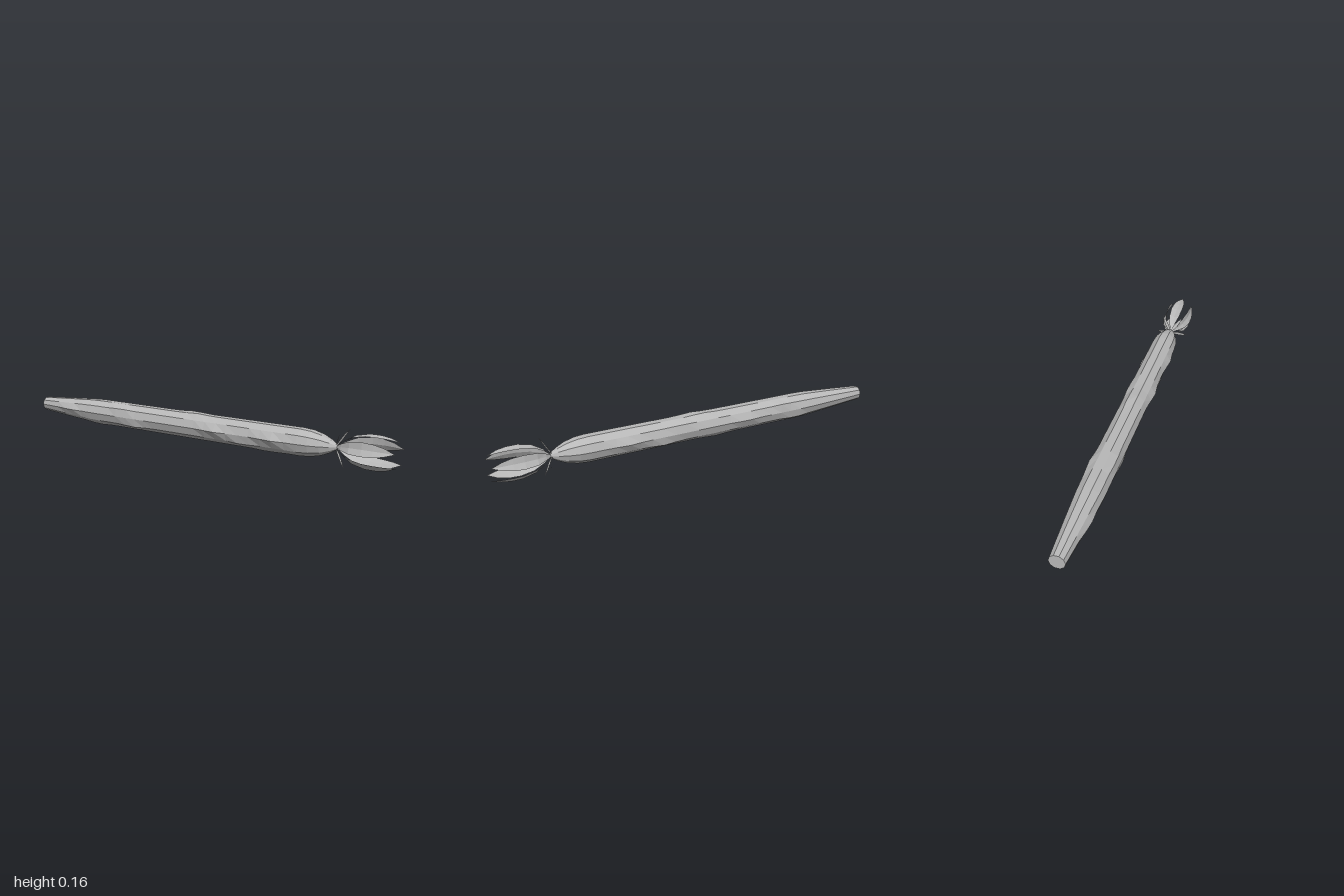
import * as THREE from 'three';

const AXIS = 0.09; // height of the long axis
const skin = new THREE.MeshStandardMaterial({ color: 0xb8b8b8, flatShading: true, side: THREE.DoubleSide });
skin.name = 'pale grey';

// linear lookup in a list of [x, value] pairs
function lookup(list, x) {
  for (let i = 1; i < list.length; i++) {
    const [x0, a] = list[i - 1], [x1, b] = list[i];
    if (x <= x1) return a + (b - a) * Math.max(0, (x - x0) / (x1 - x0));
  }
  return list[list.length - 1][1];
}

// long ten-sided body with low bumps along its ridges
function makeBody() {
  const profile = [[-1, 0.036], [-0.8, 0.051], [-0.62, 0.063], [0.56, 0.063], [0.61, 0.059],
    [0.66, 0.047], [0.7, 0.029], [0.73, 0.01]];
  const stations = [];
  for (let x = -1; x < 0.55; x += 0.06) stations.push(x);
  stations.push(0.56, 0.61, 0.66, 0.7, 0.73);
  // [x, ridge number, height]; ridge 0 faces the front, ridges 2 and 3 the top
  const bumps = [[-0.78, 0, 0.009], [0.13, 0, 0.013], [0.43, 0, 0.012], [-0.35, 9, 0.008], [0.28, 9, 0.006],
    [-0.43, 1, 0.007], [0.02, 2, 0.005], [-0.02, 3, 0.006], [-0.47, 4, 0.009], [0.1, 4, 0.006],
    [-0.25, 5, 0.008], [0.38, 5, 0.009], [-0.55, 6, 0.007], [0.2, 6, 0.007],
    [-0.1, 7, 0.005], [0.4, 8, 0.004], [-0.6, 8, 0.004]];
  const n = stations.length - 1;
  const geo = new THREE.CylinderGeometry(1, 1, n, 10, n).rotateZ(-Math.PI / 2);
  const p = geo.attributes.position;
  for (let i = 0; i < p.count; i++) {
    const x = stations[Math.round(p.getX(i) + n / 2)];
    const y = p.getY(i), z = p.getZ(i);
    const ridge = (Math.round(Math.atan2(y, z) / (Math.PI / 5)) + 10) % 10;
    let r = lookup(profile, x);
    for (const [bx, k, h] of bumps) {
      if (k === ridge) r += h * Math.max(0, 1 - Math.abs(x - bx) / 0.09);
    }
    p.setXYZ(i, x, y * r, z * r);
  }
  geo.computeVertexNormals();
  return geo;
}

// leaf-like strip folded on its midrib; rows are [x, rib radius, edge radius, half width]
function makeLeaf(rows) {
  const pos = [], index = [];
  rows.forEach(([x, rib, edge, w], i) => {
    pos.push(x, edge, -w, x, rib, 0, x, edge, w);
    if (i === 0) return;
    const a = (i - 1) * 3;
    for (const j of [a, a + 1]) index.push(j, j + 1, j + 3, j + 1, j + 4, j + 3);
  });
  const geo = new THREE.BufferGeometry();
  geo.setAttribute('position', new THREE.Float32BufferAttribute(pos, 3));
  geo.setIndex(index);
  geo.computeVertexNormals();
  return geo;
}

export function createModel() {
  const model = new THREE.Group();
  model.name = 'vegetableWithBlossom';
  model.position.y = AXIS;

  const body = new THREE.Mesh(makeBody(), skin);
  body.name = 'body';
  model.add(body);

  const petalGeo = makeLeaf([[0.725, 0.006, 0.006, 0.003], [0.755, 0.03, 0.031, 0.014], [0.8, 0.051, 0.056, 0.026],
    [0.86, 0.063, 0.069, 0.03], [0.91, 0.065, 0.07, 0.027], [0.955, 0.062, 0.066, 0.018], [1, 0.056, 0.056, 0]]);
  const sepalGeo = makeLeaf([[0.722, 0.008, 0.008, 0.004], [0.735, 0.035, 0.035, 0.009],
    [0.748, 0.066, 0.066, 0.007], [0.76, 0.09, 0.09, 0]]);

  // five petals, with the pointed sepals set between them
  for (let i = 0; i < 5; i++) {
    const petal = new THREE.Mesh(petalGeo, skin);
    petal.name = 'petal';
    petal.rotation.x = i * Math.PI * 0.4;
    const sepal = new THREE.Mesh(sepalGeo, skin);
    sepal.name = 'sepal';
    sepal.rotation.x = (i + 0.5) * Math.PI * 0.4;
    model.add(petal, sepal);
  }
  const root = new THREE.Group();
  root.name = 'model';
  root.add(model);
  return root;
}
